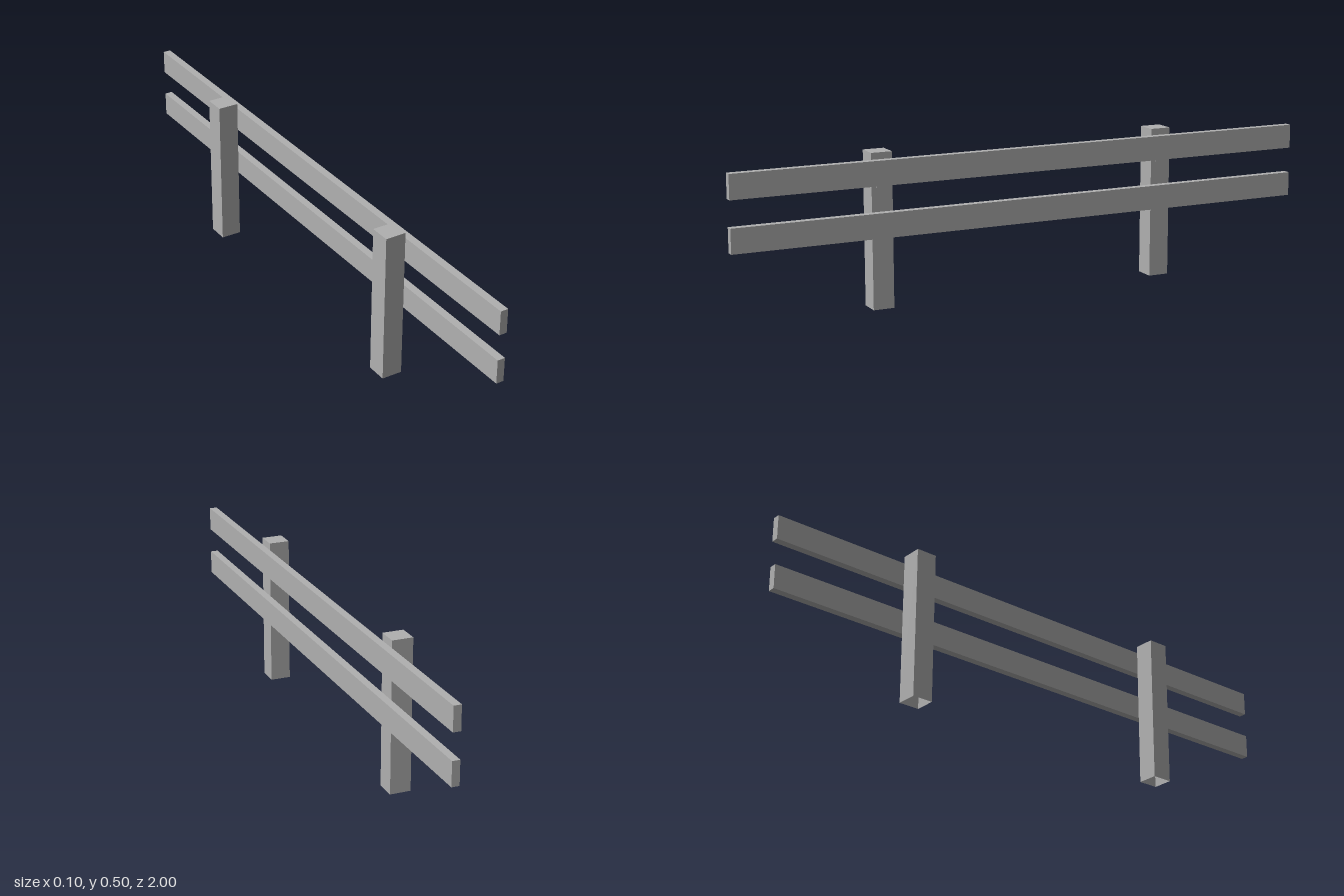
import * as THREE from 'three';

const grey = new THREE.MeshStandardMaterial({ color: 0xb0b0b0, side: THREE.DoubleSide });
grey.name = 'plain grey';

// Box given by its min and max corners
function box(name, min, max, openBottom = false) {
  const size = max.map((v, i) => v - min[i]);
  const geometry = new THREE.BoxGeometry(...size);
  if (openBottom) {
    // Faces run +x, -x, +y, -y, +z, -z with six indices each: drop -y
    const index = Array.from(geometry.index.array);
    index.splice(18, 6);
    geometry.setIndex(index);
    geometry.clearGroups();
  }
  const mesh = new THREE.Mesh(geometry, grey);
  mesh.name = name;
  mesh.position.set(...max.map((v, i) => (v + min[i]) / 2));
  return mesh;
}

export function createModel() {
  const fence = new THREE.Group();
  fence.name = 'railFence';

  // Hollow posts, each with a thin spacer behind the upper rail
  for (const [side, z] of [['front', 0.5], ['back', -0.5]]) {
    fence.add(box(`${side}Post`, [-0.049, 0, z - 0.035], [0.02, 0.502, z + 0.035], true));
    fence.add(box(`${side}Spacer`, [0.02, 0.391, z - 0.02], [0.0235, 0.43, z + 0.02]));
  }

  // Two long rails
  for (const [name, y] of [['lowerRail', 0.235], ['upperRail', 0.401]]) {
    fence.add(box(name, [0.0235, y, -1], [0.049, y + 0.08, 1]));
  }
  return fence;
}
